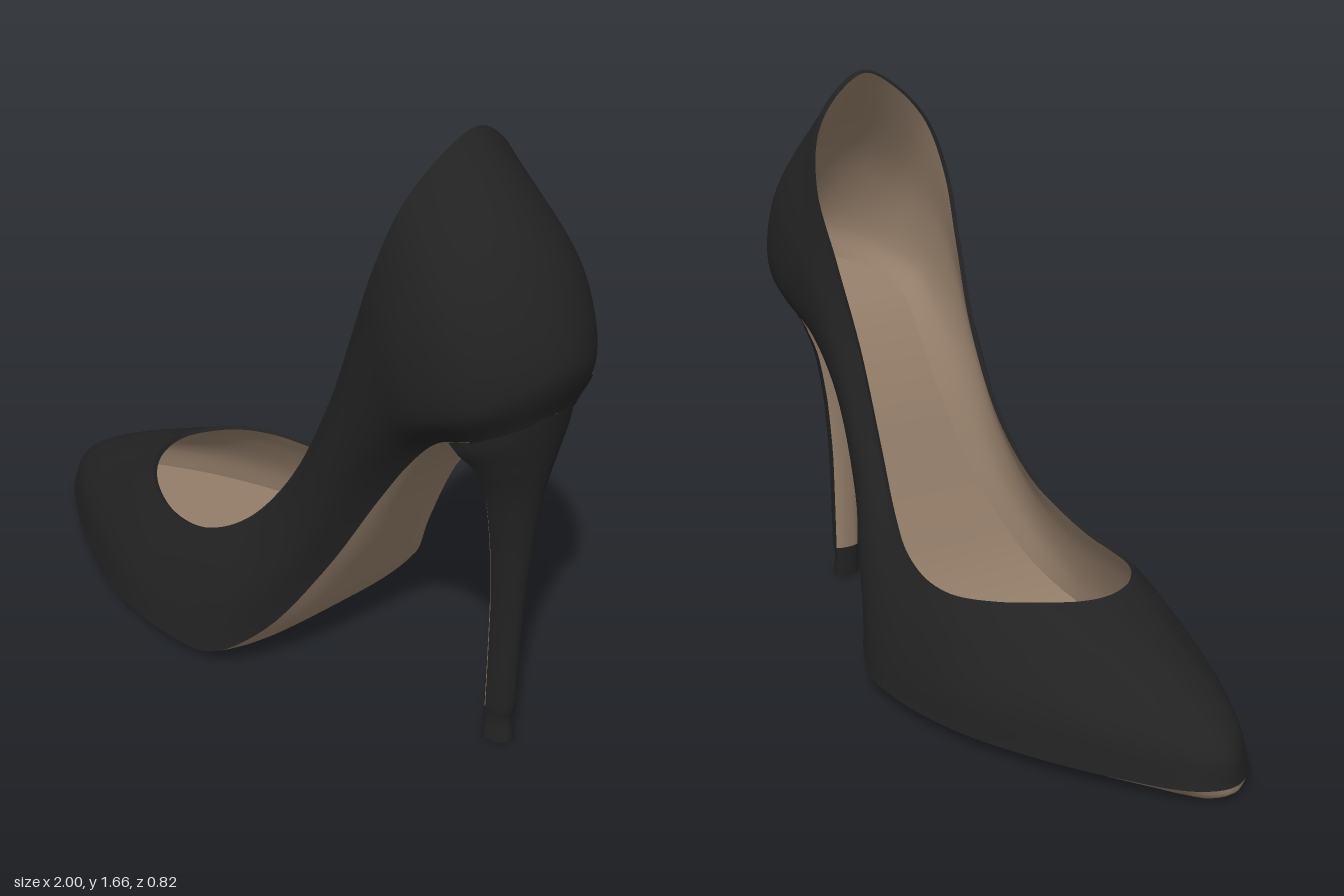
import * as THREE from 'three';
import { mergeVertices } from 'three/addons/utils/BufferGeometryUtils.js';

const V = (x, y, z) => new THREE.Vector3(x, y, z);
const black = new THREE.MeshStandardMaterial({ color: 0x222222 });
black.name = 'black leather';
const tan = new THREE.MeshStandardMaterial({ color: 0x937d69 });
tan.name = 'tan lining';

// Stations run from the toe tip along one side to the back of the heel.
const feather = [ // lower edge, where upper meets sole
  [-1, .035, 0], [-.96, .035, .09], [-.8, .035, .2], [-.6, .035, .3], [-.35, .035, .385],
  [-.08, .038, .412], [.1, .05, .385], [.24, .16, .3], [.38, .385, .2], [.52, .64, .15],
  [.64, .81, .155], [.74, .91, .17], [.85, .96, .17], [.93, 1, .1], [.955, 1.02, 0]];
const lowerSide = [
  [-.975, .12, 0], [-.925, .13, .085], [-.77, .14, .19], [-.57, .15, .285], [-.33, .14, .37],
  [-.08, .14, .388], [.08, .16, .375], [.21, .27, .325], [.35, .48, .255], [.48, .75, .235],
  [.62, .92, .24], [.75, 1, .255], [.88, 1.06, .22], [.965, 1.12, .12], [.995, 1.15, 0]];
const upperSide = [
  [-.75, .262, 0], [-.72, .255, .09], [-.6, .265, .17], [-.46, .275, .25], [-.28, .26, .325],
  [-.08, .26, .345], [.07, .29, .34], [.18, .38, .305], [.31, .58, .26], [.44, .84, .25],
  [.56, 1.05, .26], [.69, 1.18, .275], [.82, 1.27, .235], [.885, 1.35, .12], [.905, 1.37, 0]];
const topline = [ // edge of the foot opening
  [-.49, .37, 0], [-.475, .37, .07], [-.42, .37, .16], [-.33, .36, .235], [-.2, .347, .285],
  [-.07, .355, .298], [.05, .4, .287], [.15, .475, .257], [.27, .64, .222], [.39, .895, .208],
  [.49, 1.14, .225], [.57, 1.34, .238], [.62, 1.5, .2], [.65, 1.61, .105], [.662, 1.66, 0]];

// Mirror each half line into a closed loop.
const loops = [feather, lowerSide, upperSide, topline].map((half) => {
  const side = half.map((p) => V(...p));
  const other = side.slice(1, -1).reverse().map((p) => V(p.x, p.y, -p.z));
  return new THREE.CatmullRomCurve3([...side, ...other], true);
});

// Upper surface: u goes round the shoe, v climbs from sole to opening.
function outer(u, v) {
  const w = u - Math.floor(u);
  return new THREE.CatmullRomCurve3(loops.map((c) => c.getPoint(w))).getPoint(v);
}

// Upper surface moved along its normal by d.
function shifted(u, v, d) {
  const e = 1e-3;
  const du = outer(u + e, v).sub(outer(u - e, v));
  const dv = outer(u, Math.min(1, v + e)).sub(outer(u, Math.max(0, v - e)));
  return outer(u, v).addScaledVector(du.cross(dv).normalize(), d);
}
const inner = (u, v) => shifted(u, v, -0.014);

// Smooth grid surface from a rule; its front is along du x dv.
function grid(rule, nu, nv) {
  const pos = [], index = [];
  for (let j = 0; j <= nv; j++)
    for (let i = 0; i <= nu; i++) pos.push(...rule(i / nu, j / nv).toArray());
  for (let j = 0; j < nv; j++)
    for (let i = 0; i < nu; i++) {
      const a = j * (nu + 1) + i, b = a + 1, c = a + nu + 1, d = c + 1;
      index.push(a, b, d, a, d, c);
    }
  let g = new THREE.BufferGeometry();
  g.setAttribute('position', new THREE.Float32BufferAttribute(pos, 3));
  g.setIndex(index);
  g = mergeVertices(g, 1e-5);
  g.computeVertexNormals();
  return g;
}

// Heel rings: front x, back x, half width, height, tilt
const rings = [
  [.815, .89, .04, 0, 0], [.815, .89, .04, .1, 0], [.815, .895, .043, .4, 0],
  [.815, .905, .058, .6, 0], [.815, .918, .085, .75, .05], [.808, .94, .13, .86, .25],
  [.785, .955, .165, .92, .4], [.765, .965, .178, .965, .5]];
const ringShape = new THREE.CatmullRomCurve3(rings.map((r) => V(r[0], r[1], r[2])));
const ringLevel = new THREE.CatmullRomCurve3(rings.map((r) => V(r[3], r[4], 0)));
function heelPoint(u, v, front) {
  const { x: xf, y: xb, z: w } = ringShape.getPoint(v);
  const { x: level, y: tilt } = ringLevel.getPoint(v);
  const xc = xf + 0.014, a = Math.PI * u;
  const x = xc + ((front ? xf : xb) - xc) * Math.sin(a);
  return V(x, Math.max(0, level + tilt * (x - 0.85)), (front ? -w : w) * Math.cos(a));
}

export function createModel() {
  const shoe = new THREE.Group();
  shoe.name = 'highHeelShoe';
  const add = (name, material, rule, nu, nv) => {
    const mesh = new THREE.Mesh(grid(rule, nu, nv), material);
    mesh.name = name;
    shoe.add(mesh);
  };

  // Upper, its rim and lining
  add('upper', black, outer, 168, 30);
  add('toplineRim', black, (u, v) => outer(u, 1).lerp(inner(u, 1), v), 168, 1);
  add('lining', tan, (u, v) => inner(u, 1 - v), 168, 24);

  // Sole, rounded down from the feather edge
  add('sole', tan, (u, v) => {
    const t = u / 2, s = 2 * v - 1;
    const p = outer(1 - t, 0).lerp(outer(t, 0), v);
    p.y -= 0.035 * (1 - s ** 4) * Math.min(1, Math.sqrt(t * 28));
    return p;
  }, 84, 20);

  // Insole between the two lining sides
  add('insole', tan, (u, v) => inner(u / 2, 0.06).lerp(inner(1 - u / 2, 0.06), v), 84, 8);

  // Stiletto heel: round back, tan front face, black tip
  const tip = 1 / (rings.length - 1);
  add('heelBack', black, (u, v) => heelPoint(u, v, false), 24, 56);
  add('heelFront', tan, (u, v) => heelPoint(u, tip + v * (1 - tip), true), 12, 48);
  add('heelTipFront', black, (u, v) => heelPoint(u, v * tip, true), 12, 2);
  add('heelTipBase', black,
    (u, v) => heelPoint(1 - u, 0, false).lerp(heelPoint(u, 0, true), v), 24, 1);

  // Arched heel cover lying on the back of the upper
  add('heelCup', black, (u, v) => {
    const s = 2 * u - 1;
    return shifted(0.5 + s * 0.075, v * 0.28 * Math.sqrt(Math.max(0, 1 - s * s)), 0.005);
  }, 32, 8);

  return shoe;
}
